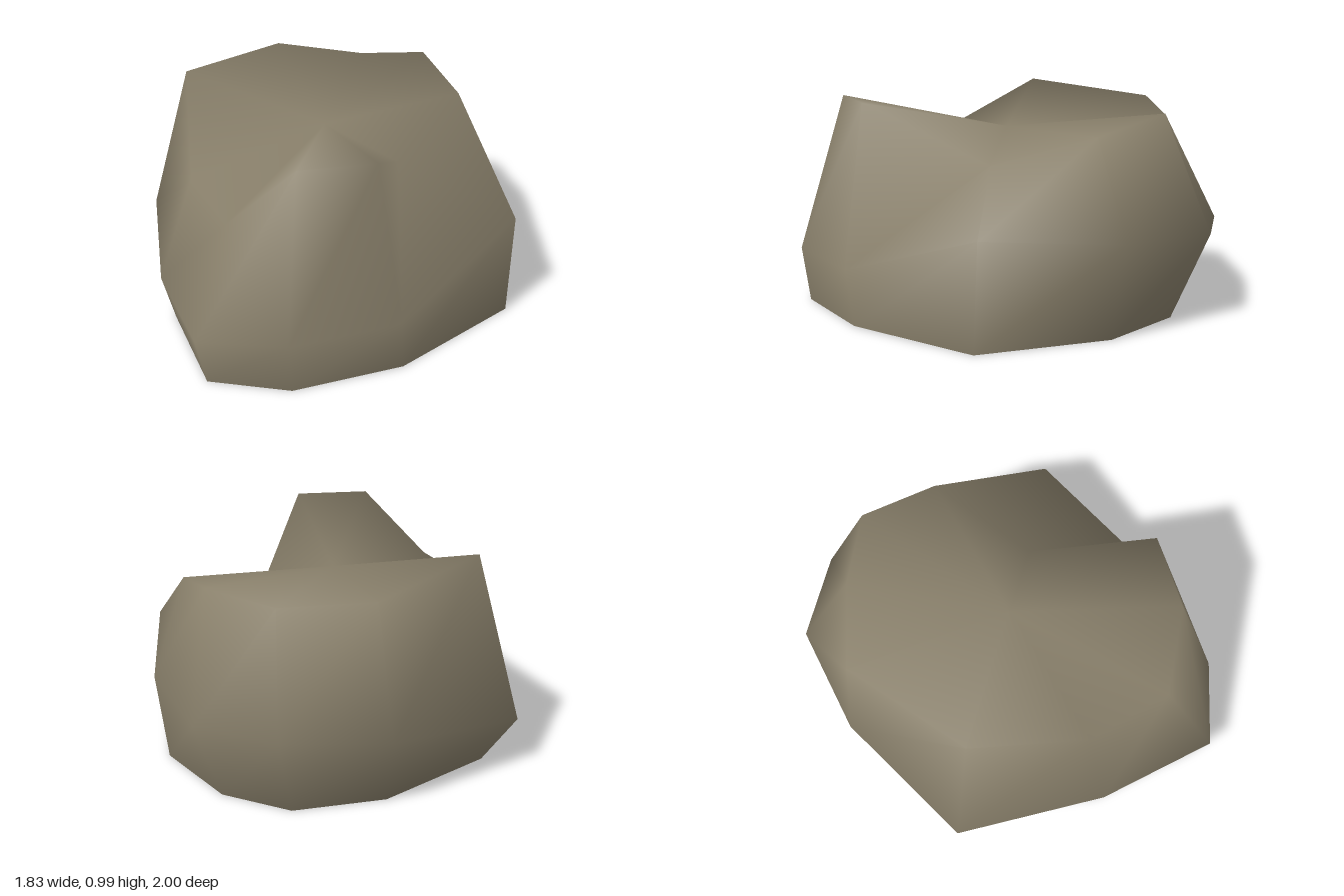
import * as THREE from 'three';

// Boulder: three uneven ten-sided rings, closed on top by a sunken centre point.
// Each ring runs left, back, right, front; points are [x, y, z].
const baseRing = [
  [-0.75, 0, -0.04], [-0.5, 0, -0.57], [-0.17, 0, -0.83], [0.17, 0, -0.83], [0.57, 0, -0.61],
  [0.9, 0, -0.08], [0.59, 0, 0.53], [0.2, 0, 0.87], [-0.17, 0, 0.94], [-0.52, 0, 0.54],
];
const bulgeRing = [
  [-0.915, 0.24, -0.05], [-0.57, 0.33, -0.67], [-0.2, 0.4, -1], [0.2, 0.4, -1], [0.59, 0.42, -0.67],
  [0.91, 0.48, -0.1], [0.59, 0.25, 0.57], [0.2, 0.25, 0.91], [-0.19, 0.24, 1], [-0.57, 0.22, 0.57],
];
const rimRing = [
  [-0.7, 0.985, -0.04], [-0.48, 0.935, -0.64], [-0.08, 0.89, -0.77], [0.24, 0.935, -0.79], [0.5, 0.86, -0.53],
  [0.36, 0.7, -0.04], [0.45, 0.975, 0.52], [0.16, 0.975, 0.7], [-0.15, 0.68, 0.74], [-0.45, 0.7, 0.45],
];
const topCentre = [0, 0.83, -0.04];

function boulderGeometry() {
  const rings = [baseRing, bulgeRing, rimRing];
  const n = baseRing.length;
  const index = [];
  // Walls between neighbouring rings
  for (let r = 0; r < rings.length - 1; r++) {
    for (let i = 0; i < n; i++) {
      const j = (i + 1) % n;
      const a = r * n + i, b = r * n + j, c = a + n, d = b + n;
      index.push(a, c, b, b, c, d);
    }
  }
  // Top fan
  const rim = (rings.length - 1) * n;
  const centre = rings.length * n;
  for (let i = 0; i < n; i++) index.push(centre, rim + ((i + 1) % n), rim + i);

  const geometry = new THREE.BufferGeometry();
  const points = [...rings.flat(), topCentre].flat();
  geometry.setAttribute('position', new THREE.Float32BufferAttribute(points, 3));
  geometry.setIndex(index);
  geometry.computeVertexNormals();
  return geometry;
}

export function createModel() {
  const stone = new THREE.MeshStandardMaterial({ color: 0x887f6a, side: THREE.DoubleSide });
  stone.name = 'stone';

  // Open underneath, where it rests on the ground
  const boulder = new THREE.Mesh(boulderGeometry(), stone);
  boulder.name = 'boulder';

  const group = new THREE.Group();
  group.name = 'rock';
  group.add(boulder);
  return group;
}
